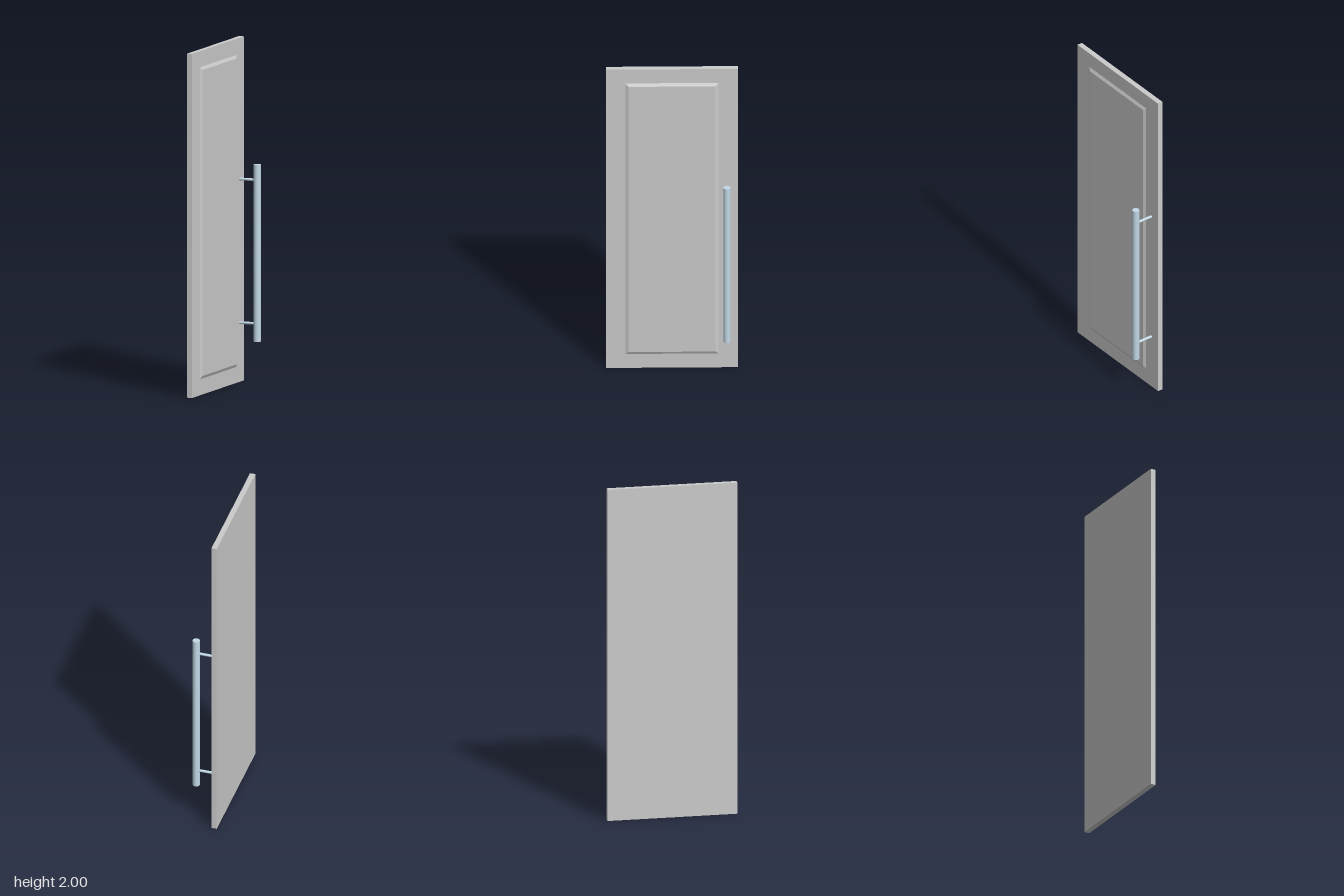
import * as THREE from 'three';

const grey = new THREE.MeshStandardMaterial({ color: 0xcccccc });
const steel = new THREE.MeshStandardMaterial({ color: 0xc2d9e6 });

function addPart(parent, name, geometry, material, x, y, z) {
  const mesh = new THREE.Mesh(geometry, material);
  mesh.name = name;
  mesh.position.set(x, y, z);
  parent.add(mesh);
  return mesh;
}

// Box whose +x face is drawn in by an inset, leaving sloped edges
function raisedPanelGeometry(depth, height, width, inset) {
  const geometry = new THREE.BoxGeometry(depth, height, width);
  const p = geometry.attributes.position;
  for (let i = 0; i < p.count; i++) {
    if (p.getX(i) <= 0) continue;
    p.setY(i, p.getY(i) - Math.sign(p.getY(i)) * inset);
    p.setZ(i, p.getZ(i) - Math.sign(p.getZ(i)) * inset);
  }
  geometry.computeVertexNormals();
  return geometry;
}

export function createModel() {
  const door = new THREE.Group();
  door.name = 'cabinetDoor';

  // Door slab and its raised centre panel
  addPart(door, 'doorSlab', new THREE.BoxGeometry(0.032, 2, 0.76), grey, -0.066, 1, 0);
  addPart(door, 'raisedPanel', raisedPanelGeometry(0.009, 1.814, 0.537, 0.018), grey, -0.0455, 1, 0);

  // Bar handle on two posts
  const handle = new THREE.Group();
  handle.name = 'handle';
  handle.position.set(0.061, 0, -0.315);
  door.add(handle);
  addPart(handle, 'handleBar', new THREE.CylinderGeometry(0.021, 0.021, 1.03, 32), steel, 0, 0.756, 0);
  for (const y of [0.345, 1.18]) {
    const post = addPart(handle, 'handlePost', new THREE.CylinderGeometry(0.008, 0.008, 0.111, 24), steel, -0.0555, y, 0);
    post.rotation.z = Math.PI / 2;
  }
  return door;
}
